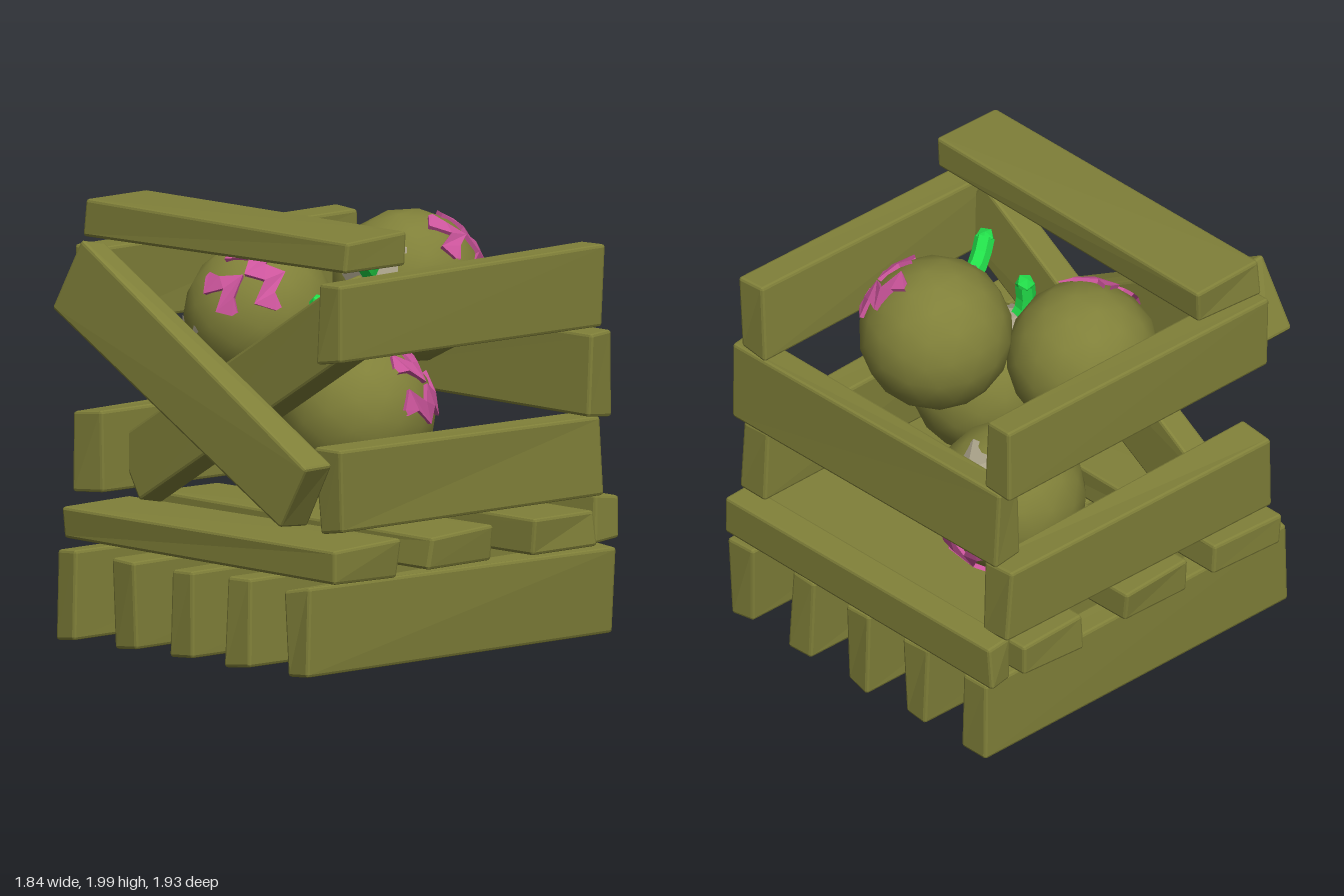
import * as THREE from 'three';
import { RoundedBoxGeometry } from 'three/addons/geometries/RoundedBoxGeometry.js';

const wood = new THREE.MeshStandardMaterial({ color: 0x808039, flatShading: true });
const skin = new THREE.MeshStandardMaterial({ color: 0x808039 });
const pink = new THREE.MeshStandardMaterial({ color: 0xcc559c, flatShading: true, side: THREE.DoubleSide });
const capGrey = new THREE.MeshStandardMaterial({ color: 0xa8a088, flatShading: true });
const green = new THREE.MeshStandardMaterial({ color: 0x22e04a, flatShading: true });

let seed = 7;
const rand = () => (seed = (seed * 16807) % 2147483647) / 2147483647;

// Rough-hewn plank: chamfered box whose eight corners are nudged inwards
function plank(name, [x0, x1], [y0, y1], [z0, z1], rotZ = 0) {
  const geo = new RoundedBoxGeometry(x1 - x0, y1 - y0, z1 - z0, 1, 0.014);
  const nudge = Array.from({ length: 8 }, () => [rand(), rand(), rand()].map((r) => r * 0.026));
  const p = geo.attributes.position;
  for (let i = 0; i < p.count; i++) {
    const c = [p.getX(i), p.getY(i), p.getZ(i)];
    const n = nudge[(c[0] > 0 ? 1 : 0) + (c[1] > 0 ? 2 : 0) + (c[2] > 0 ? 4 : 0)];
    p.setXYZ(i, ...c.map((v, k) => v - Math.sign(v) * n[k]));
  }
  geo.computeVertexNormals();
  const mesh = new THREE.Mesh(geo, wood);
  mesh.name = name;
  mesh.position.set((x0 + x1) / 2, (y0 + y1) / 2, (z0 + z1) / 2);
  mesh.rotation.z = rotZ;
  return mesh;
}

// Diagonal brace given by centre, length, width and angle
function brace(name, cx, cy, len, width, z, angle) {
  return plank(name, [cx - len / 2, cx + len / 2], [cy - width / 2, cy + width / 2], z, angle);
}

// Raised zigzag band wrapped round a ball
function zigzagBand(R, halfSpan, lat, steps, name) {
  const pos = [], idx = [];
  for (let i = 0; i <= steps; i++) {
    const a = -halfSpan + (2 * halfSpan * i) / steps;
    const t = a / halfSpan;
    const b = lat + 0.2 * t * t + (i % 2 ? 0.1 : -0.1);
    const w = i === 0 || i === steps ? 0.04 : 0.15;
    for (const [db, r] of [[-w, 0.96], [-w, 1.04], [w, 1.04], [w, 0.96]]) {
      const e = b + db;
      pos.push(R * r * Math.sin(a) * Math.cos(e), R * r * Math.sin(e), R * r * Math.cos(a) * Math.cos(e));
    }
    if (i < steps) for (let k = 0; k < 3; k++) {
      const m = i * 4 + k;
      idx.push(m, m + 4, m + 1, m + 1, m + 4, m + 5);
    }
  }
  const geo = new THREE.BufferGeometry();
  geo.setAttribute('position', new THREE.Float32BufferAttribute(pos, 3));
  geo.setIndex(idx);
  geo.computeVertexNormals();
  const mesh = new THREE.Mesh(geo, pink);
  mesh.name = name;
  return mesh;
}

// Round gourd: local +y is the stem, local +z the carved side
function gourd(name, centre, stemDir, faceDir) {
  const R = 0.35;
  const g = new THREE.Group();
  g.name = name;
  const body = new THREE.Mesh(new THREE.IcosahedronGeometry(R, 2), skin);
  body.name = 'body';

  const cap = new THREE.Mesh(new THREE.CylinderGeometry(0.05, 0.18, 0.07, 5), capGrey);
  cap.name = 'stemCap';
  cap.position.y = 0.335;

  const path = new THREE.CatmullRomCurve3([
    new THREE.Vector3(0, 0.34, 0), new THREE.Vector3(0, 0.43, 0.005), new THREE.Vector3(0.03, 0.53, 0.05),
  ]);
  const stem = new THREE.Mesh(new THREE.TubeGeometry(path, 3, 0.046, 6), green);
  stem.name = 'stem';
  const tip = new THREE.Mesh(new THREE.IcosahedronGeometry(0.046, 0), green);
  tip.name = 'stemTip';
  tip.position.copy(path.getPoint(1));

  g.add(body, cap, stem, tip,
    zigzagBand(R, 0.62, -0.22, 6, 'lowerZigzag'),
    zigzagBand(R, 0.4, 0.3, 4, 'upperZigzag'));

  const y = new THREE.Vector3(...stemDir).normalize();
  const x = new THREE.Vector3().crossVectors(y, new THREE.Vector3(...faceDir)).normalize();
  const z = new THREE.Vector3().crossVectors(x, y);
  g.quaternion.setFromRotationMatrix(new THREE.Matrix4().makeBasis(x, y, z));
  g.position.set(...centre);
  return g;
}

export function createModel() {
  const model = new THREE.Group();
  model.name = 'crateOfGourds';

  // Runners under the floor
  for (const x of [-0.74, -0.36, 0.01, 0.385, 0.77])
    model.add(plank('runner', [x - 0.085, x + 0.085], [0.01, 0.44], [-0.95, 0.97]));

  // Floor slats
  for (const [z0, z1] of [[0.4, 0.82], [-0.17, 0.25], [-0.8, -0.39]])
    model.add(plank('floorSlat', [-0.92, 0.89], [0.43, 0.62], [z0, z1]));

  // Side planks, two on each side
  for (const [y0, y1] of [[0.65, 1.05], [1.42, 1.81]]) {
    model.add(plank('leftSidePlank', [0.68, 0.86], [y0, y1], [-0.88, 0.77]));
    model.add(plank('rightSidePlank', [-0.91, -0.72], [y0, y1], [-0.88, 0.77]));
  }

  // Back planks
  model.add(plank('lowerBackPlank', [-0.89, 0.86], [0.44, 0.68], [-0.98, -0.81]));
  model.add(plank('middleBackPlank', [-0.84, 0.92], [1.03, 1.43], [-0.88, -0.71]));
  model.add(plank('topBackPlank', [-0.89, 0.86], [1.82, 2.0], [0.33, 0.735], 0.008));
  model.children[model.children.length - 1].name = 'topFrontPlank';

  // Crossed braces at the front, one outside and one inside
  model.add(brace('outerBrace', -0.02, 1.255, 1.75, 0.38, [0.76, 0.94], -0.52));
  model.add(brace('innerBrace', 0, 1.2, 1.75, 0.35, [0.43, 0.6], 0.54));

  // Gourds piled inside
  model.add(gourd('topGourd', [0.14, 1.6, -0.33], [0.28, 0.33, 0.9], [0.66, 0.7, -0.2]));
  model.add(gourd('backGourd', [-0.36, 0.97, -0.35], [-0.05, 0.7, -0.7], [-0.1, -0.7, -0.6]));
  model.add(gourd('frontGourd', [-0.31, 1.46, 0.16], [-0.45, -0.45, 0.77], [0.35, 0.6, 0.72]));
  model.add(gourd('lowGourd', [0.29, 1.08, 0.12], [-0.28, 0.9, 0.33], [0.8, 0.5, -0.4]));
  return model;
}
